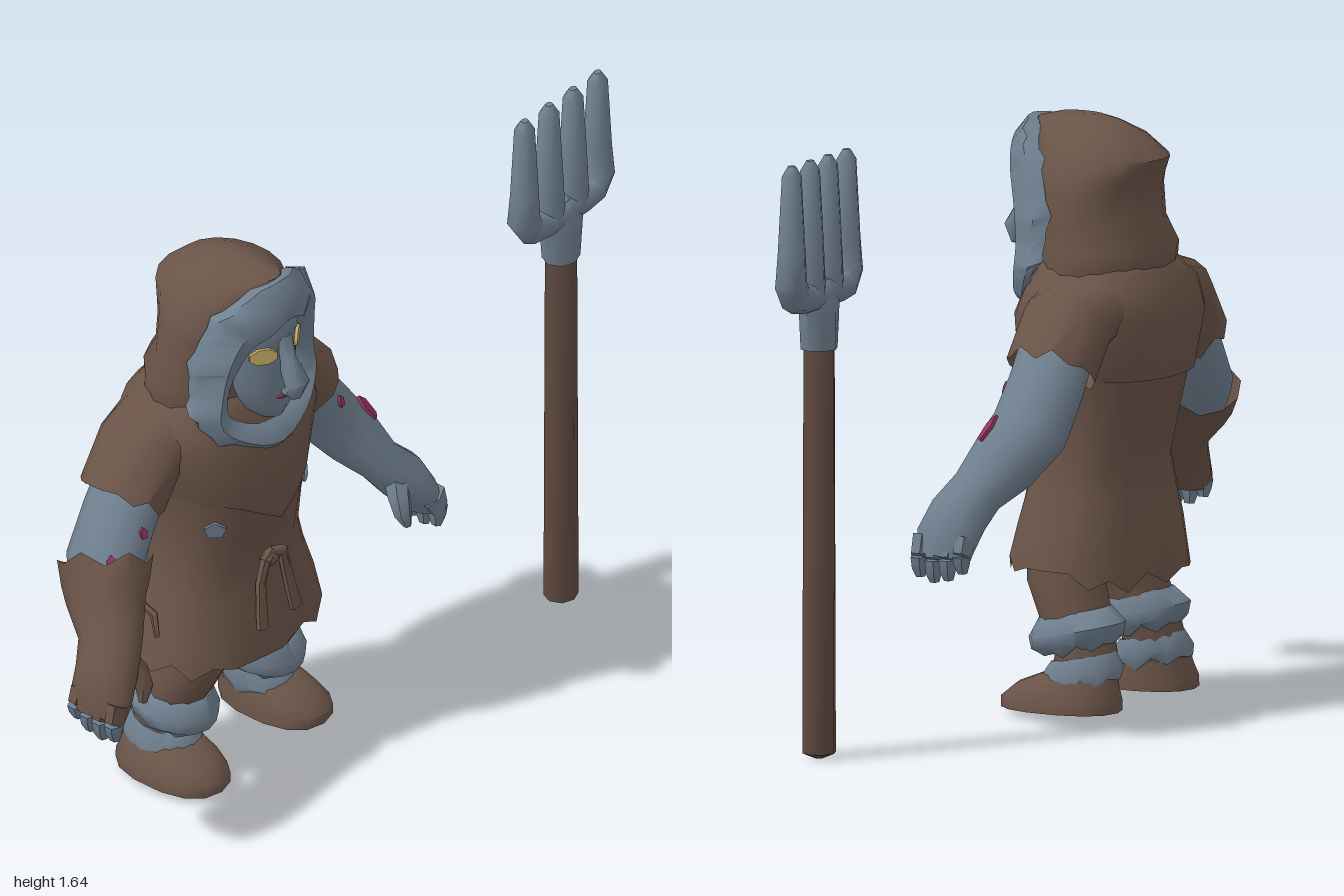
import * as THREE from 'three';
import { toCreasedNormals } from 'three/addons/utils/BufferGeometryUtils.js';

const mat = (name, color) => {
  const m = new THREE.MeshStandardMaterial({ color, side: THREE.DoubleSide });
  m.name = name;
  return m;
};

// Skin a stack of rings (arrays of Vector3 with equal length)
function skin(rings, capStart, capEnd) {
  const n = rings[0].length, pos = [], idx = [];
  rings.forEach(r => r.forEach(p => pos.push(p.x, p.y, p.z)));
  for (let i = 0; i < rings.length - 1; i++) for (let j = 0; j < n; j++) {
    const a = i * n + j, b = i * n + (j + 1) % n;
    idx.push(a, b, b + n, a, b + n, a + n);
  }
  const cap = (ring, flip) => {
    const c = pos.length / 3, o = ring * n, m = new THREE.Vector3();
    rings[ring].forEach(p => m.addScaledVector(p, 1 / n));
    pos.push(m.x, m.y, m.z);
    for (let j = 0; j < n; j++) {
      const a = o + j, b = o + (j + 1) % n;
      idx.push(...(flip ? [c, b, a] : [c, a, b]));
    }
  };
  if (capStart) cap(0, true);
  if (capEnd) cap(rings.length - 1, false);
  const g = new THREE.BufferGeometry();
  g.setAttribute('position', new THREE.Float32BufferAttribute(pos, 3));
  g.setIndex(idx);
  return toCreasedNormals(g, 0.95);
}

// Loft through sections [x, y, z, depth radius, width radius].
// flat keeps every ring level; tweak(point, ring, corner) shapes hems.
function loft(sections, { n = 10, flat = false, square = 1, caps = [true, true], tweak } = {}) {
  const c = sections.map(s => new THREE.Vector3(s[0], s[1], s[2]));
  const pw = v => Math.sign(v) * Math.abs(v) ** square;
  return skin(sections.map((s, i) => {
    const t = flat ? new THREE.Vector3(0, 1, 0)
      : c[Math.min(i + 1, c.length - 1)].clone().sub(c[Math.max(i - 1, 0)]).normalize();
    const u = new THREE.Vector3(0, 0, 1).addScaledVector(t, -t.z).normalize();
    const v = t.clone().cross(u);
    return Array.from({ length: n }, (_, j) => {
      const a = j / n * Math.PI * 2;
      const p = c[i].clone().addScaledVector(u, pw(Math.cos(a)) * s[3]).addScaledVector(v, pw(Math.sin(a)) * s[4]);
      if (tweak) tweak(p, i, j);
      return p;
    });
  }), ...caps);
}

const jag = (j, k = 0) => Math.sin(j * 2.4 + k) * 0.6 + (j % 2 ? 0.5 : -0.5);

export function createModel() {
  const brown = mat('brown cloth', 0x6a5448), grey = mat('grey skin and fur', 0x708090);
  const gold = mat('yellow eyes', 0xc8ae66), red = mat('wound red', 0x95345c), wood = mat('dark wood', 0x5f493f);
  const model = new THREE.Group(), figure = new THREE.Group(), fork = new THREE.Group();
  figure.name = 'figure';
  fork.name = 'pitchfork';
  model.add(figure, fork);
  const add = (name, geo, material, parent = figure) => {
    const m = new THREE.Mesh(geo, material);
    m.name = name;
    parent.add(m);
    return m;
  };
  // Thin plate laid on the surface where a ray strikes the target
  const patch = (name, target, from, dir, w, h, material, sides = 6) => {
    const hit = new THREE.Raycaster(new THREE.Vector3(...from), new THREE.Vector3(...dir).normalize())
      .intersectObject(target)[0];
    if (!hit) return;
    const nrm = hit.face.normal.clone();
    if (nrm.dot(new THREE.Vector3(...dir)) > 0) nrm.negate();
    const plate = new THREE.CylinderGeometry(1, 1, 0.009, sides).rotateY(Math.PI / sides).rotateX(Math.PI / 2).scale(w, h, 1);
    const m = add(name, plate, material);
    m.position.copy(hit.point).addScaledVector(nrm, 0.004);
    m.lookAt(m.position.clone().add(nrm));
  };

  // Tunic with ragged skirt hem, lower at the back
  const tunic = add('tunic', loft([
    [0, 0.405, -0.025, 0.205, 0.305], [0, 0.5, -0.025, 0.19, 0.28], [0, 0.6, -0.03, 0.17, 0.25],
    [0, 0.68, -0.03, 0.158, 0.232], [0, 0.8, -0.035, 0.185, 0.228], [0, 0.95, -0.04, 0.215, 0.245],
    [0, 1.08, -0.055, 0.222, 0.29], [0, 1.16, -0.06, 0.19, 0.28], [0, 1.23, -0.05, 0.16, 0.2], [0, 1.26, -0.05, 0.1, 0.12]],
  { n: 24, flat: true, square: 0.85, caps: [false, true], tweak: (p, i, j) => {
    if (i === 0) p.y += jag(j) * 0.022 - (p.z < -0.1 ? 0.04 : 0);
  } }), brown);
  // Shoulder mantle with a pointed front edge
  add('mantle', loft([[0, 0.92, -0.045, 0.222, 0.24], [0, 1.08, -0.055, 0.229, 0.296], [0, 1.16, -0.06, 0.197, 0.286], [0, 1.22, -0.05, 0.16, 0.2]],
    { n: 24, flat: true, square: 0.85, caps: [false, false], tweak: (p, i) => {
      if (i === 0 && p.z > 0) p.y -= 0.1 * Math.max(0, 1 - Math.abs(p.x) / 0.16);
    } }), brown);
  add('pelvis', loft([[0, 0.345, -0.01, 0.09, 0.06], [0, 0.385, -0.01, 0.13, 0.11], [0, 0.55, -0.02, 0.14, 0.19]],
    { flat: true }), brown);
  // Belt knot
  add('beltKnot', new THREE.SphereGeometry(0.035, 8, 6).scale(1, 0.8, 0.7).translate(0, 0.675, 0.135), brown);

  // Hood with a drooping point behind
  add('hood', loft([
    [0, 1.12, -0.05, 0.17, 0.2], [0, 1.2, -0.055, 0.165, 0.23], [0, 1.26, -0.055, 0.175, 0.222], [0, 1.33, -0.035, 0.155, 0.21],
    [0, 1.42, -0.03, 0.155, 0.205], [0, 1.46, -0.03, 0.17, 0.19], [0, 1.505, -0.035, 0.185, 0.168],
    [0, 1.56, 0, 0.16, 0.125], [0, 1.595, 0.035, 0.125, 0.07], [0, 1.612, 0.03, 0.06, 0.025]],
  { n: 18, flat: true }), brown);
  // Fur trim: a thick band from the hood edge over a ridge and down to the face
  const loop = half => new THREE.CatmullRomCurve3([...half, ...half.slice(1, -1).reverse().map(p => [-p[0], p[1], p[2]])]
    .map(p => new THREE.Vector3(...p)), true);
  const furRows = [
    [[0, 1.585, 0.13], [0.095, 1.555, 0.11], [0.16, 1.5, 0.07], [0.198, 1.38, 0.03], [0.213, 1.27, 0.03], [0.225, 1.2, 0.06], [0.15, 1.13, 0.1], [0, 1.06, 0.13]],
    [[0, 1.6, 0.18], [0.1, 1.57, 0.15], [0.168, 1.505, 0.11], [0.207, 1.38, 0.065], [0.222, 1.27, 0.06], [0.23, 1.19, 0.08], [0.15, 1.115, 0.13], [0, 1.05, 0.165]],
    [[0, 1.555, 0.22], [0.085, 1.53, 0.2], [0.145, 1.47, 0.172], [0.175, 1.38, 0.145], [0.19, 1.27, 0.13], [0.195, 1.19, 0.135], [0.12, 1.12, 0.17], [0, 1.075, 0.185]],
    [[0, 1.485, 0.21], [0.065, 1.455, 0.198], [0.108, 1.42, 0.165], [0.13, 1.37, 0.145], [0.15, 1.28, 0.12], [0.148, 1.2, 0.12], [0.075, 1.145, 0.15], [0, 1.125, 0.165]],
    [[0, 1.46, 0.17], [0.055, 1.44, 0.16], [0.092, 1.41, 0.13], [0.1, 1.36, 0.11], [0.125, 1.29, 0.085], [0.135, 1.2, 0.08], [0.065, 1.155, 0.1], [0, 1.15, 0.12]]].map(loop);
  add('hoodFur', skin(furRows.map((c, r) => Array.from({ length: 44 }, (_, j) => {
    const p = c.getPoint(j / 44), tuft = j % 4 === 2 ? 1 : 0;
    if (r === 1) { p.x *= 1 + tuft * 0.07; p.z += jag(j, 1) * 0.008; p.y += tuft * (p.y > 1.5 ? 0.006 : -0.01); }
    if (r === 0) p.z -= tuft * 0.015;
    return p;
  }))), grey);

  // Face
  const head = add('head', loft([
    [0, 1.155, 0.1, 0.075, 0.045], [0, 1.19, 0.085, 0.105, 0.08], [0, 1.26, 0.07, 0.12, 0.108], [0, 1.33, 0.065, 0.13, 0.12],
    [0, 1.41, 0.065, 0.128, 0.125], [0, 1.435, 0.065, 0.14, 0.12], [0, 1.5, 0.055, 0.13, 0.11]], { n: 16, flat: true }), grey);
  add('nose', loft([[0, 1.42, 0.18, 0.022, 0.028], [0, 1.35, 0.195, 0.03, 0.022], [0, 1.285, 0.232, 0.034, 0.036],
    [0, 1.255, 0.222, 0.026, 0.032], [0, 1.242, 0.19, 0.01, 0.016]], { n: 8 }), grey);
  patch('mouth', head, [0, 1.23, 1], [0, 0, -1], 0.03, 0.006, red);

  for (const s of [1, -1]) {
    const side = s > 0 ? 'left' : 'right';
    const at = list => list.map(([x, ...r]) => [x * s, ...r]);
    patch(side + 'Eye', head, [s * 0.068, 1.38, 1], [0, 0, -1], 0.042, 0.026, gold, 8);
    patch(side + 'TunicPatch', tunic, [s * 0.45, 0.84, 0.4], [-s * 0.75, 0, -0.85], 0.032, 0.028, grey, 5);
    add(side + 'BeltEnd', loft(at([[0, 0.69, 0.14, 0.014, 0.016], [0.035, 0.685, 0.15, 0.016, 0.016], [0.052, 0.62, 0.148, 0.014, 0.016],
      [0.06, 0.56, 0.157, 0.013, 0.018], [0.07, 0.49, 0.17, 0.012, 0.022]]), { n: 6 }), brown);

    // Sleeve with ragged end
    add(side + 'Sleeve', loft(at([[0.1, 1.14, -0.085, 0.15, 0.09], [0.28, 1.085, -0.08, 0.13, 0.11], [0.365, 0.97, -0.075, 0.128, 0.108]]),
      { n: 16, caps: [true, false], tweak: (p, i, j) => { if (i === 2) p.y += jag(j, s) * 0.016; } }), brown);

    // Arm, gloved on the right
    const armPath = at([[0.3, 1.05, -0.07, 0.105, 0.085], [0.38, 0.93, -0.07, 0.108, 0.088], [0.455, 0.82, -0.06, 0.112, 0.09],
      [0.51, 0.735, -0.01, 0.102, 0.082], [0.555, 0.66, 0.045, 0.08, 0.062], [0.605, 0.6, 0.075, 0.086, 0.07],
      [0.645, 0.54, 0.09, 0.092, 0.056], [0.66, 0.49, 0.095, 0.08, 0.04]]);
    const arm = add(side + 'Arm', loft(s > 0 ? armPath : armPath.slice(0, 5), { n: 12 }), grey);
    const hand = s > 0 ? grey : brown;
    if (s < 0) {
      const glove = armPath.slice(3).map(([x, y, z, a, b], i) => [x, y, z, a + (i < 2 ? 0.012 : 0.004), b + (i < 2 ? 0.012 : 0.002)]);
      add('glove', loft([[-0.46, 0.815, -0.055, 0.135, 0.118], [-0.49, 0.765, -0.03, 0.125, 0.102], ...glove],
        { n: 12, caps: [false, true], tweak: (p, i, j) => { if (!i) p.y += jag(j) * 0.022; } }), brown);
      add('gloveStrap', loft([[-0.44, 0.72, 0.05, 0.01, 0.01], [-0.44, 0.7, 0.1, 0.012, 0.012], [-0.45, 0.64, 0.12, 0.008, 0.008]], { n: 5 }), brown);
    }
    // Fingers and thumb
    for (let f = 0; f < 4; f++) {
      const z = 0.028 + f * 0.043, d = [0.03, 0.008, 0, 0.012][f];
      const base = [0.65, 0.54, z, 0.027, 0.044], mid = [0.672, 0.485 + d * 0.5, z, 0.026, 0.033];
      add(side + 'Finger', loft(at([base, mid]), { n: 6 }), hand);
      add(side + 'FingerTip', loft(at([mid, [0.672, 0.45 + d, z, 0.024, 0.026], [0.668, 0.425 + d, z, 0.015, 0.014]]), { n: 6 }), grey);
    }
    add(side + 'Thumb', loft(at([[0.575, 0.63, 0.09, 0.04, 0.042], [0.543, 0.58, 0.13, 0.032, 0.032],
      [0.538, 0.535, 0.15, 0.026, 0.025], [0.55, 0.495, 0.155, 0.012, 0.012]]), { n: 6 }), hand);
    // Wounds
    patch(side + 'UpperWound', arm, [s * 0.41, 0.92, 1], [0, 0, -1], 0.012, 0.018, red, 5);
    if (s > 0) patch('forearmWound', arm, [1, 0.835, 0.36], [-0.55, -0.01, -0.4], 0.024, 0.045, red, 5);
    else patch('rightArmWound', arm, [-0.9, 0.86, 0.4], [0.8, 0, -0.8], 0.015, 0.025, red, 5);

    // Leg, fur cuffs and boot
    add(side + 'Leg', loft(at([[0.2, 0.08, -0.085, 0.09, 0.08], [0.185, 0.18, -0.085, 0.085, 0.08], [0.175, 0.26, -0.05, 0.1, 0.095],
      [0.16, 0.36, -0.01, 0.108, 0.1], [0.14, 0.5, 0, 0.11, 0.1]]), { n: 12, flat: true }), brown);
    const ragged = (p, i, j) => {
      p.y += (p.z + 0.06) * -0.2;
      if (i === 0) p.y += jag(j, 2) * 0.012;
    };
    add(side + 'KneeFur', loft(at([[0.182, 0.18, -0.06, 0.1, 0.09], [0.18, 0.2, -0.055, 0.128, 0.112], [0.18, 0.235, -0.055, 0.135, 0.12],
      [0.172, 0.285, -0.045, 0.1, 0.09]]), { n: 16, flat: true, tweak: ragged }), grey);
    add(side + 'AnkleFur', loft(at([[0.2, 0.085, -0.075, 0.115, 0.09], [0.195, 0.115, -0.075, 0.12, 0.097], [0.19, 0.16, -0.08, 0.09, 0.08]]),
      { n: 16, flat: true, tweak: ragged }), grey);
    add(side + 'Boot', loft(at([[0.213, 0.02, -0.025, 0.172, 0.11], [0.213, 0.05, -0.025, 0.172, 0.108], [0.207, 0.085, -0.04, 0.145, 0.096],
      [0.2, 0.12, -0.08, 0.098, 0.08]]), { n: 14, flat: true, square: 0.85 }), brown);
  }
  figure.position.x = -0.3;

  // Pitchfork: shaft, socket, curved outer tines and straight inner tines
  add('shaft', loft([[0, 0, 0, 0.012, 0.012], [0, 0.015, 0, 0.046, 0.049], [0, 1.13, 0, 0.044, 0.043]], { n: 8, flat: true }), wood, fork);
  add('socket', loft([[0, 1.12, 0, 0.05, 0.055], [0, 1.22, 0, 0.05, 0.068], [0, 1.28, 0, 0.045, 0.08], [0, 1.31, 0, 0.025, 0.06]],
    { n: 8, flat: true }), grey, fork);
  for (const s of [1, -1]) {
    const tine = x => [[x, 1.4, 0, 0.04, 0.038], [x, 1.615, 0, 0.027, 0.029], [x, 1.642, 0, 0.01, 0.012]];
    add('outerTine', loft([[0, 1.272, 0, 0.045, 0.048], [s * 0.08, 1.272, 0, 0.045, 0.045], [s * 0.13, 1.278, 0, 0.045, 0.046],
      [s * 0.155, 1.315, 0, 0.045, 0.046], ...tine(s * 0.152)], { n: 8 }), grey, fork);
    add('innerTine', loft([[s * 0.05, 1.27, 0, 0.045, 0.045], ...tine(s * 0.05)], { n: 8 }), grey, fork);
  }
  fork.position.set(0.8, 0, 0.23);
  return model;
}
